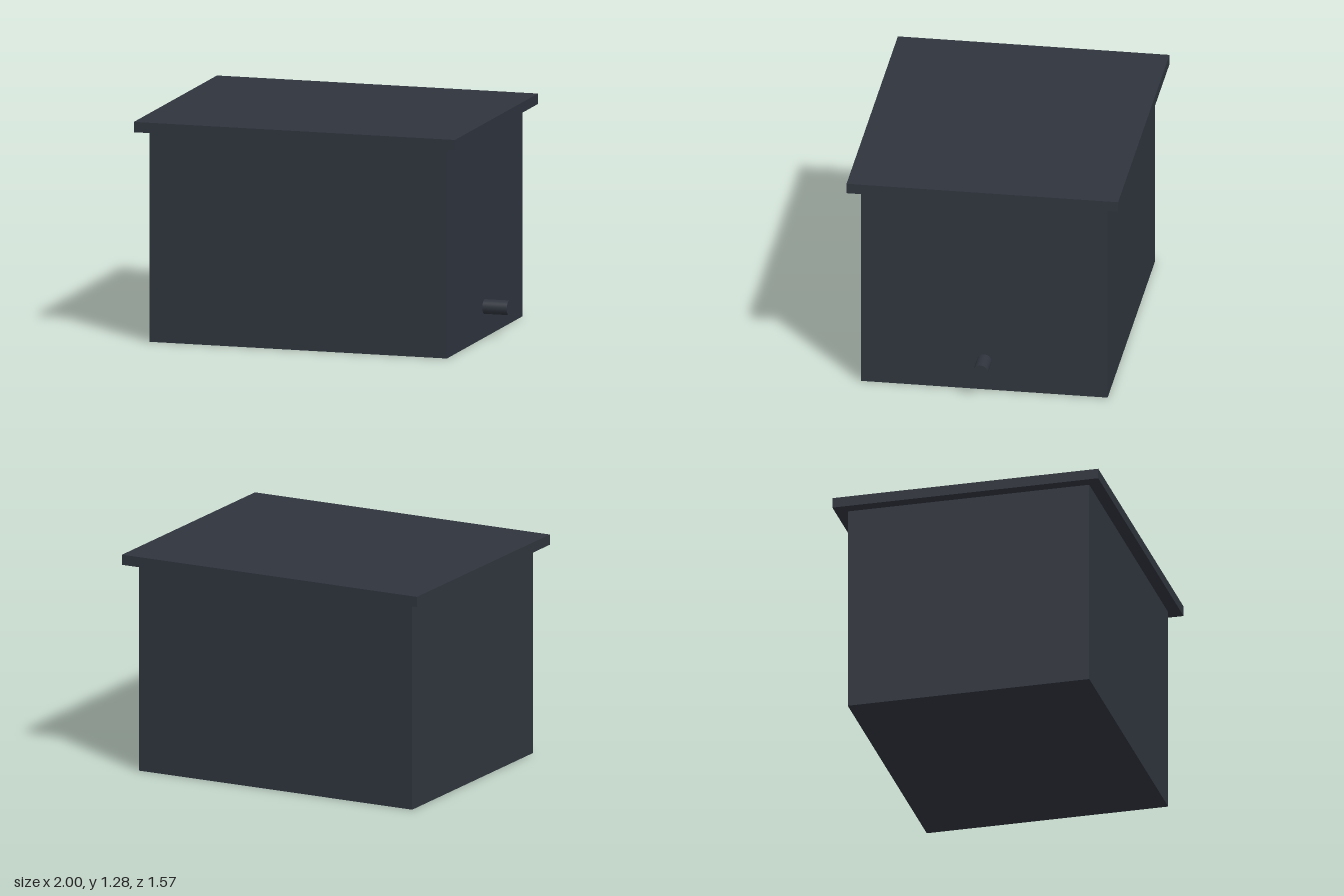
import * as THREE from 'three';

export function createModel() {
  const group = new THREE.Group();
  const material = new THREE.MeshStandardMaterial({ color: 0x2f343d });
  const centreX = -0.037;

  const add = (name, geometry, x, y) => {
    const mesh = new THREE.Mesh(geometry, material);
    mesh.name = name;
    mesh.position.set(x, y, 0);
    group.add(mesh);
    return mesh;
  };

  // Tank body
  const bodyHeight = 1.225;
  add('body', new THREE.BoxGeometry(1.782, bodyHeight, 1.426), centreX, bodyHeight / 2);

  // Overhanging lid
  const lidHeight = 0.06;
  add('lid', new THREE.BoxGeometry(1.925, lidHeight, 1.57), centreX, bodyHeight + lidHeight / 2);

  // Outlet pipe low on the left side, its inner end set into the wall
  const pipe = add('outletPipe', new THREE.CylinderGeometry(0.042, 0.042, 0.16, 32), 0.92, 0.18);
  pipe.rotation.z = -Math.PI / 2;

  return group;
}
